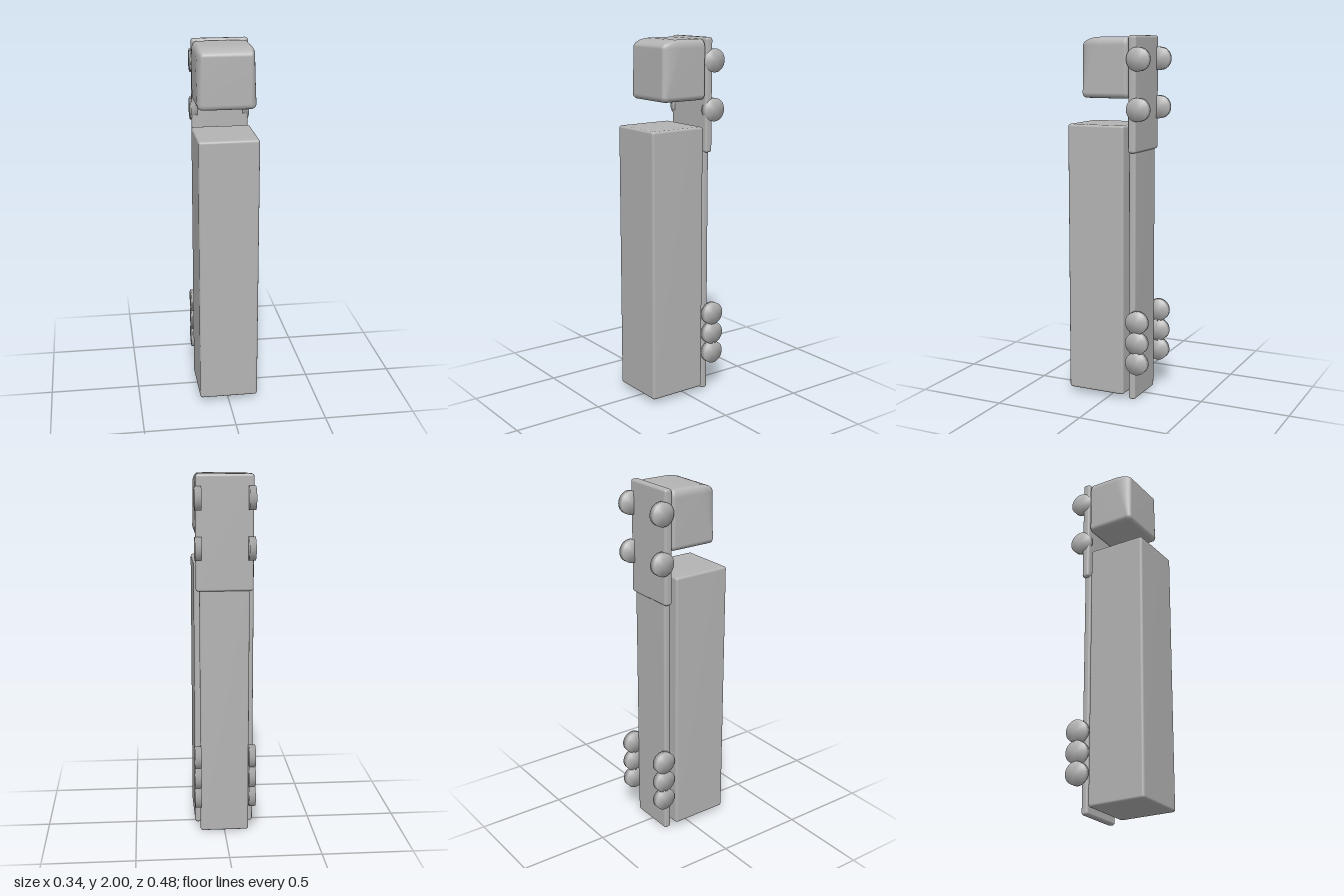
import * as THREE from 'three';
import { mergeVertices } from 'three/addons/utils/BufferGeometryUtils.js';

// Weld all corners so the shading runs smoothly over every edge
function weld(geometry) {
  geometry.deleteAttribute('uv');
  geometry.deleteAttribute('normal');
  const g = mergeVertices(geometry, 1e-5);
  g.computeVertexNormals();
  return g;
}

// Box between two corners; lo and hi are the bevel sizes at the low and high ends of each axis
function bevelBox(min, max, lo, hi = lo, steps = 2, adjust = null) {
  const n = steps * 2 + 1;
  const g = new THREE.BoxGeometry(n, n, n, n, n, n);
  const pos = g.attributes.position;
  const o = new THREE.Vector3();
  for (let i = 0; i < pos.count; i++) {
    const v = [0, 1, 2].map(a => Math.round(pos.getComponent(i, a) + n / 2));
    const high = v.map(k => k > steps);
    o.fromArray(v.map((k, a) => (high[a] ? k - steps - 1 : k - steps) / steps)).normalize();
    const p = o.toArray().map((d, a) => high[a] ? max[a] - hi[a] + d * hi[a] : min[a] + lo[a] + d * lo[a]);
    if (adjust) adjust(p);
    pos.setXYZ(i, ...p);
  }
  return weld(g);
}

export function createModel() {
  const model = new THREE.Group();
  model.name = 'uprightTruck';
  const grey = new THREE.MeshStandardMaterial({ color: 0xb4b4b4 });
  grey.name = 'plain grey';

  const add = (name, geometry) => {
    const mesh = new THREE.Mesh(geometry, grey);
    mesh.name = name;
    model.add(mesh);
    return mesh;
  };

  // Long cargo body
  add('cargoBody', bevelBox([-0.163, 0.027, -0.097], [0.163, 1.526, 0.238], [0.014, 0.014, 0.014]));

  // Cab with a curved upper front edge and a tight lower one
  add('cab', bevelBox([-0.157, 1.668, -0.118], [0.157, 1.992, 0.157],
    [0.03, 0.03, 0.02], [0.03, 0.045, 0.11], 4, p => {
      if (p[1] < 1.8 && p[2] > 0.046) p[2] = 0.157 - (0.157 - p[2]) * 0.2;
    }));

  // Chassis plates
  add('cabChassis', bevelBox([-0.155, 1.38, -0.164], [0.155, 2, -0.118], [0.014, 0.014, 0.014]));
  add('cargoChassis', bevelBox([-0.135, 0, -0.156], [0.135, 1.4, -0.116], [0.012, 0.012, 0.012]));

  // Wheels in pairs; the cargo wheels stand slightly further out
  const wheelShape = weld(new THREE.CylinderGeometry(0.063, 0.063, 0.036, 32).rotateZ(Math.PI / 2));
  const axles = [[0.22, 0.15], [0.335, 0.15], [0.452, 0.15], [1.612, 0.143], [1.876, 0.143]];
  for (const [y, x] of axles) {
    for (const side of [-1, 1]) {
      add(y < 1 ? 'cargoWheel' : 'cabWheel', wheelShape).position.set(side * x, y, -0.175);
    }
  }
  return model;
}
